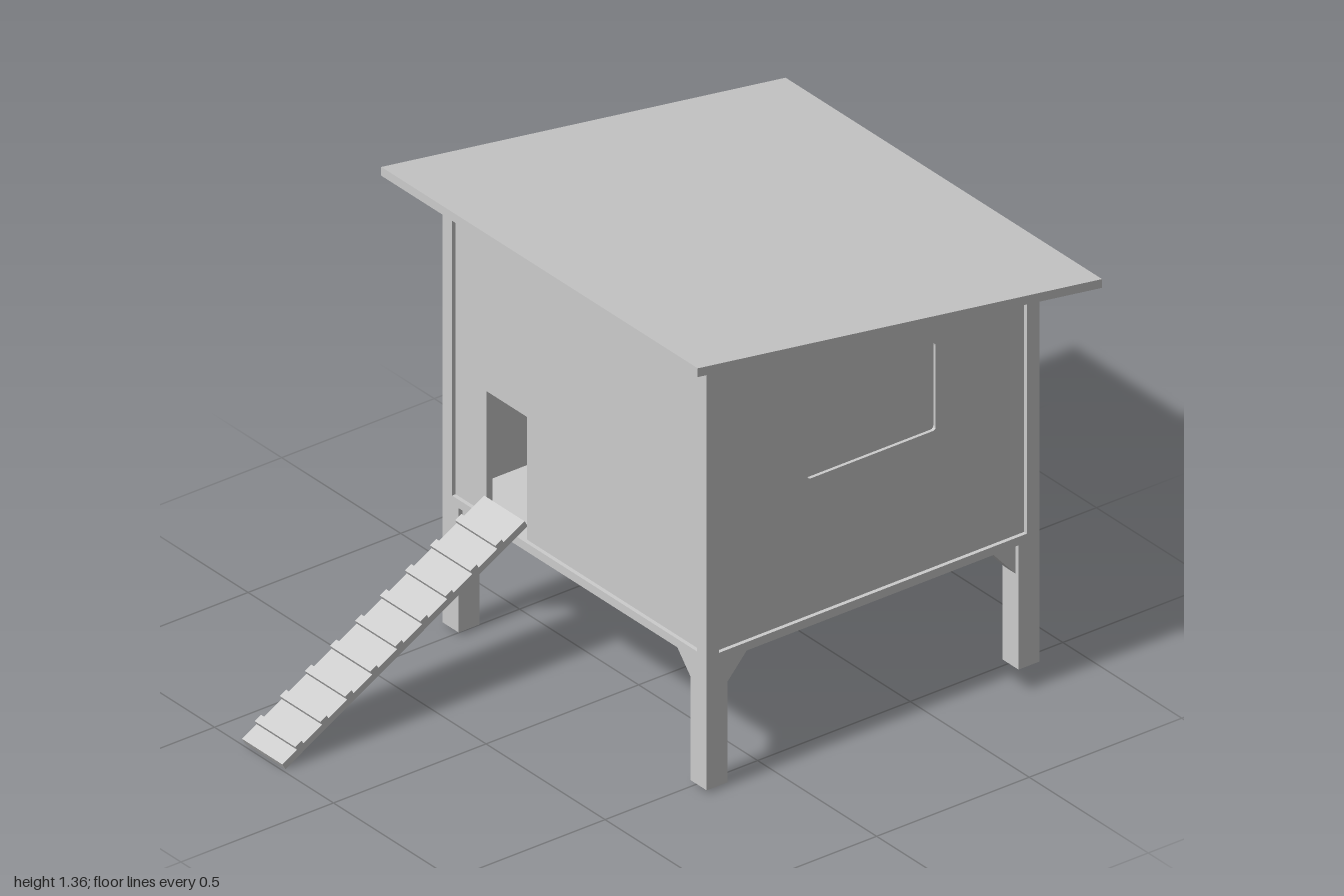
import * as THREE from 'three';

const material = new THREE.MeshStandardMaterial({ color: 0xcccccc, flatShading: true });

// House footprint and key heights
const X0 = -0.21, X1 = 0.88, Z = 0.555, FLOOR = 0.38, SILL = 0.405;
const POST = 0.04, INSET = 0.012, WALL = 0.02;
const ROOF_X0 = -0.325, ROOF_X1 = 1.0;
const roofUnderside = (x) => 1.33 - (x - ROOF_X0) * 0.151;

function add(parent, name, geometry) {
  const mesh = new THREE.Mesh(geometry, material);
  mesh.name = name;
  parent.add(mesh);
  return mesh;
}

function polygon(points) {
  return new THREE.Shape(points.map(([x, y]) => new THREE.Vector2(x, y)));
}

// Extrude an xy shape between two z values
function slab(shape, z0, z1) {
  const geometry = new THREE.ExtrudeGeometry(shape, { depth: z1 - z0, bevelEnabled: false, curveSegments: 3 });
  return geometry.translate(0, 0, z0);
}

// Shape whose top follows the roof slope unless a flat top is given
function underRoof(x0, x1, y0, top) {
  return polygon([[x0, y0], [x1, y0], [x1, top ?? roofUnderside(x1)], [x0, top ?? roofUnderside(x0)]]);
}

function roundedRect(x0, y0, x1, y1, r) {
  const p = new THREE.Path();
  p.moveTo(x0 + r, y0);
  p.lineTo(x1 - r, y0).quadraticCurveTo(x1, y0, x1, y0 + r);
  p.lineTo(x1, y1 - r).quadraticCurveTo(x1, y1, x1 - r, y1);
  p.lineTo(x0 + r, y1).quadraticCurveTo(x0, y1, x0, y1 - r);
  p.lineTo(x0, y0 + r).quadraticCurveTo(x0, y0, x0 + r, y0);
  return p;
}

function buildHouse() {
  const house = new THREE.Group();
  house.name = 'house';
  add(house, 'floor', slab(underRoof(X0, X1, FLOOR, SILL), -Z, Z));

  // Corner posts
  for (const x of [X0, X1 - POST]) {
    for (const z of [-Z, Z - POST]) {
      add(house, 'cornerPost', slab(underRoof(x, x + POST, SILL), z, z + POST));
    }
  }

  // Front and back walls, each with a shallow recessed window
  const outer = Z - INSET, recess = outer - 0.01;
  for (const [name, side] of [['front', 1], ['back', -1]]) {
    const face = underRoof(X0 + POST, X1 - POST, SILL);
    face.holes.push(roundedRect(0.13, 0.81, 0.55, 1.07, 0.01));
    const span = (a, b) => (side > 0 ? [a, b] : [-b, -a]);
    add(house, name + 'Wall', slab(face, ...span(recess, outer)));
    add(house, name + 'Window', slab(underRoof(X0 + POST, X1 - POST, SILL), ...span(recess - 0.012, recess)));
  }

  // Plain wall on the low side
  const zIn = Z - POST;
  add(house, 'leftWall', slab(underRoof(X1 - INSET - WALL, X1 - INSET, SILL), -zIn, zIn));

  // Wall on the high side, built around the doorway
  const a = X0 + INSET, b = a + WALL, doorTop = 0.77;
  add(house, 'doorWallBack', slab(underRoof(a, b, SILL), -zIn, -0.385));
  add(house, 'doorWallFront', slab(underRoof(a, b, SILL), -0.215, zIn));
  add(house, 'doorWallAbove', slab(underRoof(a, b, doorTop), -0.385, -0.215));
  return house;
}

function buildRoof() {
  const t = 0.026;
  const shape = polygon([
    [ROOF_X0, roofUnderside(ROOF_X0)], [ROOF_X1, roofUnderside(ROOF_X1)],
    [ROOF_X1, roofUnderside(ROOF_X1) + t], [ROOF_X0, roofUnderside(ROOF_X0) + t],
  ]);
  return slab(shape, -0.665, 0.665);
}

// Leg with two angled braces; local origin at its outer corner, reaching along +x and +z
function buildLeg(sx, sz) {
  const leg = new THREE.Group();
  leg.name = 'leg';
  const w = 0.068, bottom = 0.01, half = 0.022;
  const cx = (sx < 0 ? X0 : X1) - sx * w / 2, cz = sz * (Z - w / 2);
  add(leg, 'legPost', new THREE.BoxGeometry(w, FLOOR - bottom, w)).position.y = (FLOOR + bottom) / 2;
  const brace = polygon([[w / 2, 0.29], [w / 2 + 0.075, 0.374], [w / 2 + 0.075, FLOOR], [w / 2, FLOOR]]);
  const alongX = add(leg, 'braceAcross', slab(brace, -half, half));
  alongX.rotation.y = sx < 0 ? 0 : Math.PI;
  const alongZ = add(leg, 'braceDeep', slab(brace, -half, half));
  alongZ.rotation.y = sz * Math.PI / 2;
  leg.position.set(cx, 0, cz);
  return leg;
}

// Sloping ramp with evenly spaced treads, built flat and then tilted
function buildRamp() {
  const ramp = new THREE.Group();
  ramp.name = 'ramp';
  const angle = Math.atan2(0.44, 0.785), length = 0.91, thick = 0.02, width = 0.17;
  add(ramp, 'rampBoard', new THREE.BoxGeometry(length, thick, width)).position.set(length / 2, thick / 2, 0);
  for (let i = 0; i < 9; i++) {
    const tread = add(ramp, 'tread', new THREE.BoxGeometry(0.024, 0.012, width));
    tread.position.set(0.067 + i * 0.094, thick + 0.006, 0);
  }
  ramp.rotation.z = angle;
  ramp.position.set(-0.99, 0, -0.3);
  return ramp;
}

export function createModel() {
  const model = new THREE.Group();
  model.name = 'henHouse';
  model.add(buildHouse());
  add(model, 'roof', buildRoof());
  for (const sx of [-1, 1]) for (const sz of [-1, 1]) model.add(buildLeg(sx, sz));
  model.add(buildRamp());
  return model;
}
